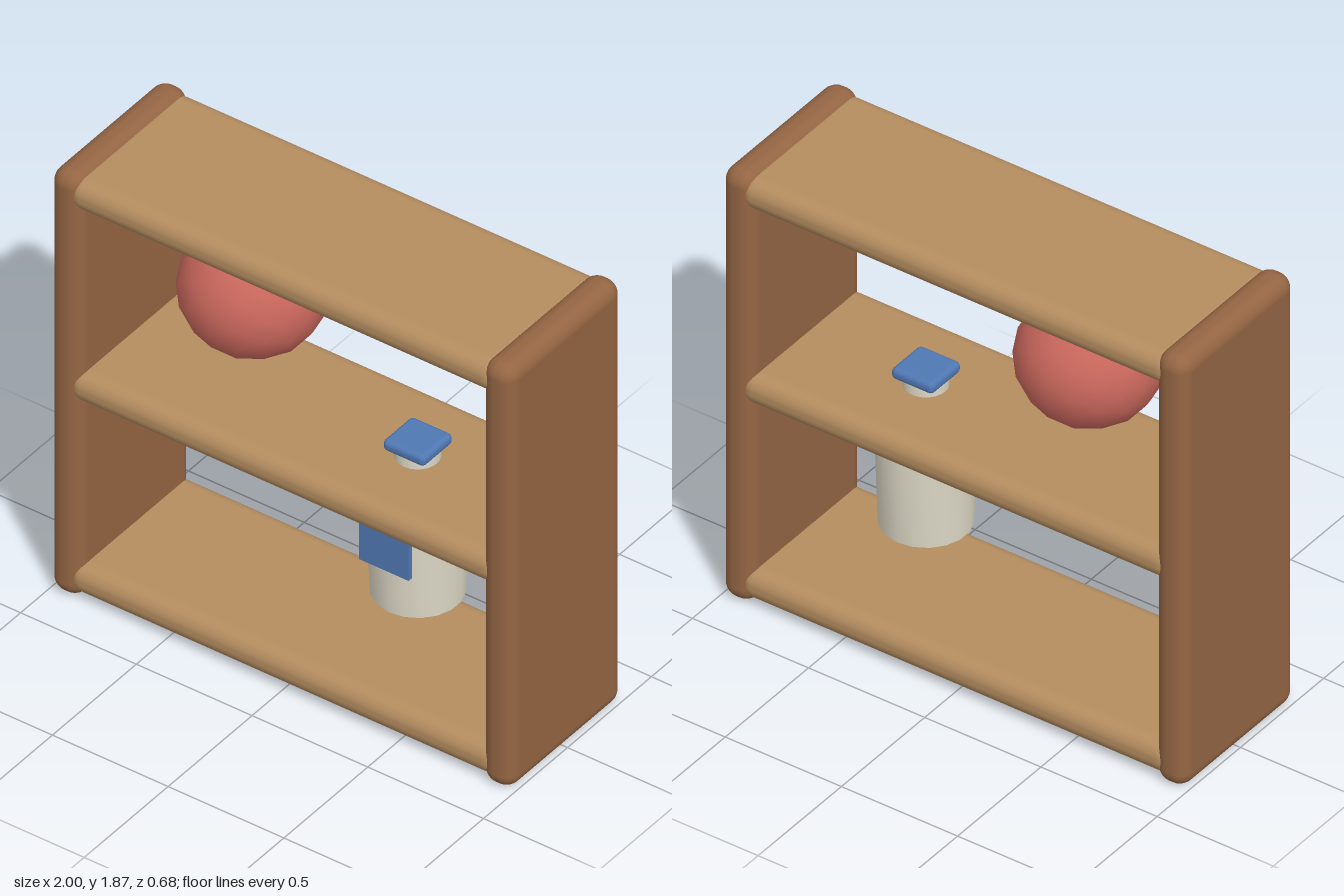
import * as THREE from 'three';
import { toCreasedNormals } from 'three/addons/utils/BufferGeometryUtils.js';
import { RoundedBoxGeometry } from 'three/addons/geometries/RoundedBoxGeometry.js';

const mat = (name, color) => {
  const m = new THREE.MeshStandardMaterial({ color });
  m.name = name;
  return m;
};

export function createModel() {
  const darkWood = mat('dark wood', 0x946543);
  const lightWood = mat('light wood', 0xb58d60);
  const red = mat('red', 0xc9675c);
  const cream = mat('cream', 0xddd8c6);
  const blue = mat('blue', 0x5078b4);
  const green = mat('leaf green', 0x6a8a5c);
  const stemBrown = mat('stem brown', 0x7d5236);

  const model = new THREE.Group();
  model.name = 'shelfUnit';
  const add = (parent, name, geometry, material, x, y, z) => {
    const mesh = new THREE.Mesh(geometry, material);
    mesh.name = name;
    mesh.position.set(x, y, z);
    parent.add(mesh);
    return mesh;
  };

  // Upright side panels with bullnose edges
  for (const [name, s] of [['leftPanel', 1], ['rightPanel', -1]]) {
    add(model, name, new RoundedBoxGeometry(0.135, 1.865, 0.68, 4, 0.06), darkWood, s * 0.9325, 0.9325, 0);
  }

  // Three boards let into the panels
  [['bottomShelf', 0.087], ['middleShelf', 0.935], ['topShelf', 1.78]].forEach(([name, y]) => {
    add(model, name, new RoundedBoxGeometry(1.86, 0.13, 0.67, 4, 0.06), lightWood, 0, y, 0);
  });

  // Hanging fruit with stem and leaf
  const fruit = new THREE.Group();
  fruit.name = 'fruit';
  fruit.position.set(-0.355, 1.43, 0);
  model.add(fruit);
  add(fruit, 'fruitBody', new THREE.IcosahedronGeometry(0.274, 2), red, 0, 0, 0).scale.y = 0.94;
  const stem = add(fruit, 'stem', new THREE.CylinderGeometry(0.017, 0.017, 0.13, 8), stemBrown, 0.008, 0.29, 0);
  stem.rotation.z = -0.15;
  const leaf = add(fruit, 'leaf', new THREE.SphereGeometry(1, 10, 6), green, 0.08, 0.298, 0);
  leaf.scale.set(0.085, 0.016, 0.04);

  // Bottle passing through the middle shelf
  const bottle = new THREE.Group();
  bottle.name = 'bottle';
  bottle.position.set(0.353, 0, 0);
  model.add(bottle);
  const profile = [[0, 0.41], [0.17, 0.41], [0.184, 0.83], [0.15, 0.875], [0.083, 0.93], [0.083, 1.045], [0, 1.045]]
    .map(([r, y]) => new THREE.Vector2(r, y));
  add(bottle, 'bottleBody', toCreasedNormals(new THREE.LatheGeometry(profile, 18), 0.6), cream, 0, 0, 0);
  add(bottle, 'bottleCap', new RoundedBoxGeometry(0.182, 0.048, 0.18, 3, 0.02), blue, 0, 1.059, 0);
  add(bottle, 'bottleLabel', new THREE.BoxGeometry(0.214, 0.19, 0.02), blue, 0, 0.713, 0.192);

  return model;
}
